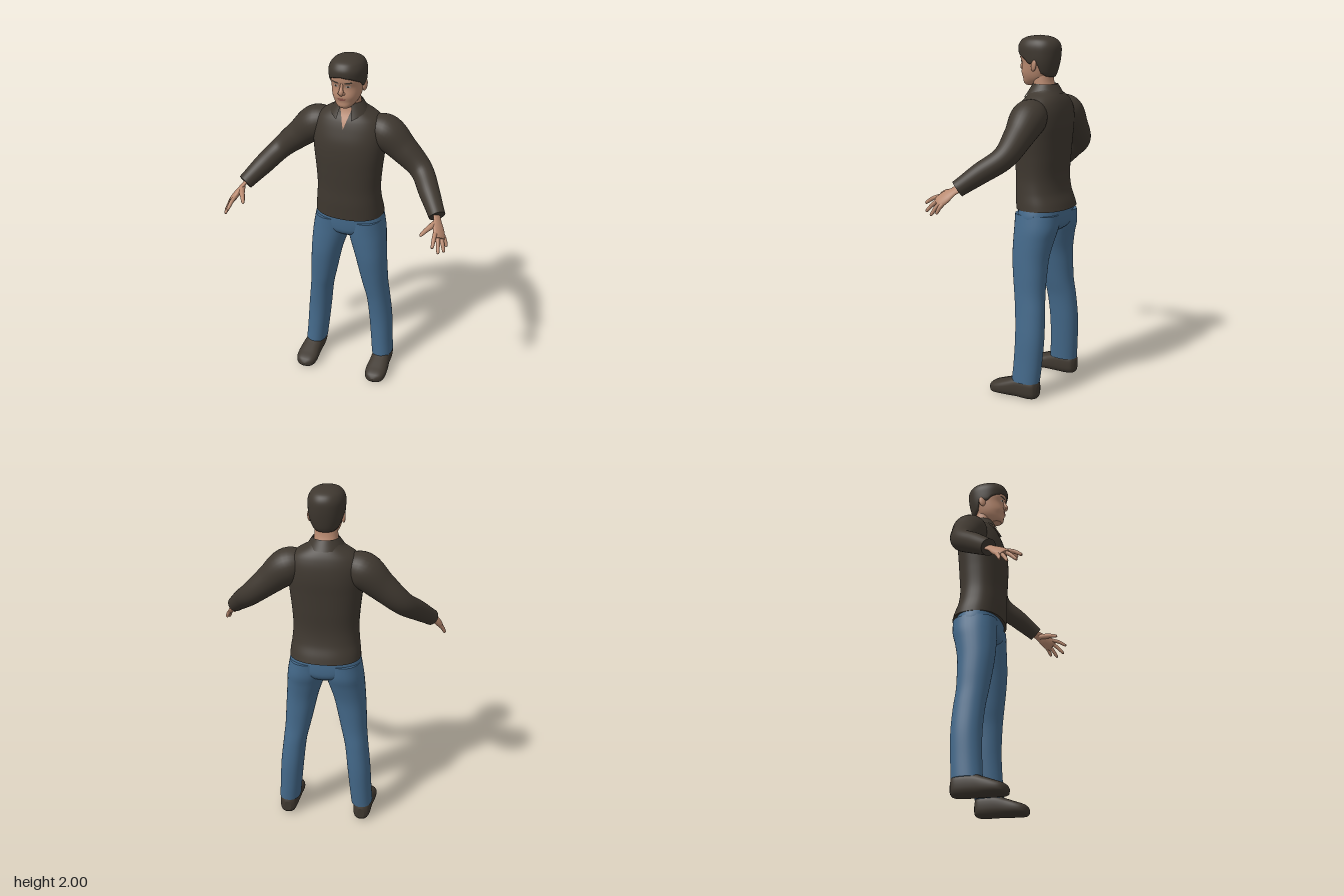
import * as THREE from 'three';

const mat = (name, color, side = THREE.FrontSide) => {
  const m = new THREE.MeshStandardMaterial({ color, side });
  m.name = name;
  return m;
};

// Grid of quads from rows of points; closed rows wrap around.
function skin(rows, closed = true) {
  const n = rows[0].length, pos = rows.flat(2), idx = [];
  for (let j = 0; j + 1 < rows.length; j++) {
    for (let i = 0; i < (closed ? n : n - 1); i++) {
      const k = (i + 1) % n, a = j * n + i, b = j * n + k;
      idx.push(a, b, b + n, a, b + n, a + n);
    }
  }
  const g = new THREE.BufferGeometry();
  g.setAttribute('position', new THREE.Float32BufferAttribute(pos, 3));
  g.setIndex(idx);
  g.computeVertexNormals();
  return g;
}

// Close both ends with a flat fan and a crisp rim.
function capped(rings) {
  const mid = r => r.map(() => [0, 1, 2].map(c => r.reduce((s, p) => s + p[c], 0) / r.length));
  const a = rings[0], b = rings[rings.length - 1];
  return skin([mid(a), a, ...rings, b, mid(b)]);
}

// Smooth lookup in keys [s, x0, x1, z0, z1].
function extents(keys, s) {
  let i = 0;
  while (i < keys.length - 2 && s > keys[i + 1][0]) i++;
  const slope = (k, c) => {
    const a = keys[Math.max(0, k - 1)], b = keys[Math.min(keys.length - 1, k + 1)];
    return (b[c] - a[c]) / (b[0] - a[0]);
  };
  const A = keys[i], B = keys[i + 1], h = B[0] - A[0];
  const t = THREE.MathUtils.clamp((s - A[0]) / h, 0, 1), t2 = t * t, t3 = t2 * t;
  return [1, 2, 3, 4].map(c => (2 * t3 - 3 * t2 + 1) * A[c] + (3 * t2 - 2 * t3) * B[c]
    + h * ((t3 - 2 * t2 + t) * slope(i, c) + (t3 - t2) * slope(i + 1, c)));
}

// Point on the rounded section at height s; angle 0 is the front.
function at(keys, s, a, p = 2.3, scale = 1) {
  const [x0, x1, z0, z1] = extents(keys, s);
  const f = v => Math.sign(v) * Math.abs(v) ** (2 / p) * scale / 2;
  return [(x0 + x1) / 2 + (x1 - x0) * f(Math.sin(a)), s, (z0 + z1) / 2 + (z1 - z0) * f(Math.cos(a))];
}

const angles = n => Array.from({ length: n }, (_, i) => i / n * Math.PI * 2);
const steps = n => Array.from({ length: n + 1 }, (_, i) => i / n);

function loft(keys, p = 2.3, rows = 40, n = 40) {
  const lo = keys[0][0], hi = keys[keys.length - 1][0];
  return capped(steps(rows).map(t => angles(n).map(a => at(keys, lo + (hi - lo) * t, a, p))));
}

// Tapering limb along points [x, y, z, radius], flattened across the ref direction.
function limb(pts, ref = [0, 0, 1], flat = 1, n = 20) {
  const curve = new THREE.CatmullRomCurve3(pts.map(p => new THREE.Vector3(p[0], p[1], p[2])));
  const radius = new THREE.SplineCurve(pts.map((p, i) => new THREE.Vector2(i, p[3])));
  return capped(steps(pts.length * 6).map(t => {
    const c = curve.getPoint(t), d = curve.getTangent(t), r = radius.getPoint(t).y;
    const u = new THREE.Vector3(...ref);
    u.addScaledVector(d, -u.dot(d)).normalize();
    const v = d.clone().cross(u);
    return angles(n).map(a => c.clone().addScaledVector(u, r * Math.cos(a))
      .addScaledVector(v, r * flat * Math.sin(a)).toArray());
  }));
}

function mirrored(g) {
  const m = g.clone().scale(-1, 1, 1), ix = m.index.array;
  for (let i = 0; i < ix.length; i += 3) [ix[i], ix[i + 1]] = [ix[i + 1], ix[i]];
  return m;
}

// Thin plate laid on the front of a lofted form; f(u, v) gives x, y.
function plate(keys, f, lift = 0.003) {
  return skin(steps(8).map(v => steps(10).map(u => {
    const [x, y] = f(u * 2 - 1, v * 2 - 1), [x0, x1, z0, z1] = extents(keys, y);
    const q = Math.min(1, Math.abs((x - (x0 + x1) / 2) / ((x1 - x0) / 2)));
    return [x, y, (z0 + z1) / 2 + (z1 - z0) / 2 * (1 - q ** 2.3) ** (1 / 2.3) + lift];
  })), false);
}
const lens = (cx, cy, w, h, tilt = 0) => (u, v) =>
  [cx + w * u, cy + h * v * Math.sqrt(Math.max(0, 1 - u * u)) + tilt * u];

const sym = rows => rows.map(([y, w, z0, z1]) => [y, -w, w, z0, z1]);

const TORSO = sym([[1.065, .196, -.268, .025], [1.1, .193, -.258, .027], [1.16, .185, -.236, .03],
  [1.24, .18, -.226, .03], [1.35, .187, -.232, .035], [1.45, .198, -.238, .037], [1.53, .204, -.243, .03],
  [1.6, .2, -.238, .01], [1.65, .175, -.225, -.01], [1.68, .135, -.21, -.028], [1.7, .098, -.195, -.037],
  [1.73, .07, -.175, -.045]]);
const HEAD = sym([[1.732, .03, -.06, .006], [1.745, .046, -.1, .018], [1.77, .064, -.135, .02],
  [1.8, .075, -.155, .027], [1.85, .084, -.175, .022], [1.89, .087, -.18, .033], [1.94, .08, -.175, .028],
  [1.97, .06, -.15, 0]]);
const HAIR = sym([[1.77, .07, -.158, .02], [1.8, .08, -.172, .025], [1.85, .093, -.185, .03],
  [1.9, .098, -.193, .041], [1.94, .097, -.193, .045], [1.97, .084, -.178, .03], [1.985, .066, -.155, .01],
  [1.995, .04, -.12, -.025], [2, 0, -.075, -.075]]);
const NECK = sym([[1.6, .07, -.17, -.05], [1.7, .064, -.168, -.05], [1.75, .062, -.152, -.047],
  [1.8, .06, -.145, -.04]]);
const PELVIS = sym([[.93, .05, -.19, -.04], [.96, .14, -.232, -.005], [1, .198, -.245, .006],
  [1.1, .185, -.24, .01]]);
const LEG = [[.1, .155, .278, -.2, -.035], [.2, .145, .271, -.208, -.042], [.35, .13, .262, -.215, -.046],
  [.5, .113, .246, -.209, -.036], [.6, .09, .236, -.2, -.022], [.7, .068, .231, -.2, -.008],
  [.8, .045, .225, -.205, .003], [.9, .014, .218, -.225, .006], [.96, 0, .212, -.242, .006],
  [1.04, 0, .198, -.245, .006]];
// Shoe sections run from heel to toe: z, x0, x1, -top, -bottom
const SHOE = [[-.2, .2, .24, -.085, -.02], [-.19, .18, .26, -.112, -.008], [-.15, .17, .272, -.125, 0],
  [-.08, .165, .276, -.122, 0], [-.02, .163, .284, -.1, 0], [.04, .16, .287, -.077, 0],
  [.08, .17, .277, -.062, 0], [.1, .19, .254, -.048, -.008], [.106, .21, .236, -.035, -.018]];

export function createModel() {
  const dark = mat('darkCloth', 0x3f3830, THREE.DoubleSide), denim = mat('denim', 0x44698a);
  const flesh = mat('skin', 0xb98a70, THREE.DoubleSide), lip = mat('lips', 0x965c50, THREE.DoubleSide);
  const white = mat('eyeWhite', 0xb5aaa0, THREE.DoubleSide);
  const model = new THREE.Group();
  const add = (name, geo, m) => {
    const mesh = new THREE.Mesh(geo, m);
    mesh.name = name;
    model.add(mesh);
  };
  const pair = (name, geo, m) => {
    add(name + 'Left', geo, m);
    add(name + 'Right', mirrored(geo), m);
  };

  // Clothes
  add('shirt', loft(TORSO, 2.3, 60, 56), dark);
  pair('sleeve', limb([[.09, 1.595, -.115, .065], [.195, 1.573, -.125, .098], [.3, 1.488, -.125, .08],
    [.41, 1.39, -.105, .063], [.487, 1.31, -.008, .056], [.558, 1.232, .085, .045]], [0, 0, 1], 1, 32), dark);
  add('hips', loft(PELVIS), denim);
  pair('trouserLeg', loft(LEG, 2.2, 50, 36), denim);
  pair('shoe', loft(SHOE, 2.7, 40, 32).rotateX(Math.PI / 2), dark);

  // Open shirt neck and folded collar
  add('openNeck', plate(TORSO, (u, v) => [u * .035 * (v + 1) / 2, 1.61 + .055 * (v + 1)]), flesh);
  const top = sym([[0, .07, -.178, -.042], [1, .07, -.178, -.042]]);
  const low = sym([[0, .103, -.21, .008], [1, .103, -.21, .008]]);
  add('collar', skin([0, .3, .65, 1].map(v => steps(48).map(u => {
    const a = .42 + u * (Math.PI * 2 - .84), front = Math.max(0, Math.cos(a)) ** 3;
    const p = at(low, 0, a, 2), q = at(top, 0, a, 2);
    return [p[0] + (q[0] - p[0]) * v, (1.69 - .04 * front) * (1 - v) + 1.742 * v, p[2] + (q[2] - p[2]) * v];
  })), false), dark);

  // Head and face
  add('neck', loft(NECK), flesh);
  add('head', loft(HEAD, 2.3, 50, 48), flesh);
  add('nose', limb([[0, 1.882, .024, .006], [0, 1.855, .03, .009], [0, 1.832, .037, .013],
    [0, 1.82, .034, .011], [0, 1.813, .025, .006]], [1, 0, 0], .9), flesh);
  pair('nostril', new THREE.SphereGeometry(.009, 14, 10).translate(.011, 1.823, .03), flesh);
  pair('ear', new THREE.SphereGeometry(1, 18, 14).scale(.01, .032, .019).rotateX(-.2).rotateY(-.3)
    .translate(.089, 1.842, -.088), flesh);
  pair('eye', plate(HEAD, lens(.034, 1.861, .015, .006)), white);
  pair('iris', plate(HEAD, lens(.034, 1.861, .006, .006), .005), dark);
  pair('eyebrow', plate(HEAD, lens(.036, 1.882, .022, .005, .002)), dark);
  add('upperLip', plate(HEAD, lens(0, 1.793, .026, .003)), dark === lip ? dark : lip);
  add('lowerLip', plate(HEAD, lens(0, 1.786, .022, .005), .004), lip);

  // Hair cap: the hairline height changes around the head
  const line = [[0, 1.912], [.5, 1.903], [.95, 1.885], [1.2, 1.872], [1.4, 1.848], [1.6, 1.852],
    [1.8, 1.855], [2.05, 1.8], [2.5, 1.782], [3.15, 1.778]];
  const hairline = a => {
    const s = a > Math.PI ? 2 * Math.PI - a : a;
    const i = line.findIndex((k, j) => j && s <= k[0]), [p, q] = [line[i - 1], line[i]];
    return p[1] + (q[1] - p[1]) * (s - p[0]) / (q[0] - p[0]);
  };
  const hairRow = (t, scale) => angles(64).map(a => {
    const b = hairline(a);
    return at(HAIR, b + (2 - b) * Math.sin(t * Math.PI / 2), a, 2.2, scale);
  });
  add('hair', skin([hairRow(0, .82), hairRow(0, .98), ...steps(28).slice(1).map(t => hairRow(t, 1))]), dark);

  // Hands: palm, four fingers and thumb
  const across = [-.53, .51, .67];
  pair('palm', limb([[.545, 1.247, .062, .028], [.566, 1.218, .105, .028], [.582, 1.19, .14, .04],
    [.597, 1.165, .17, .041], [.603, 1.155, .182, .034]], across, .42), flesh);
  const fingers = [['index', .033, [.585, 1.143, .272]], ['middle', .012, [.613, 1.104, .25]],
    ['ring', -.011, [.634, 1.091, .205]], ['little', -.032, [.637, 1.105, .165]]];
  for (const [name, w, tip] of fingers) {
    const base = [.594, 1.17, .165].map((c, i) => c + across[i] * w);
    const pt = (t, r, bend = 0) => [...base.map((c, i) => c + (tip[i] - c) * t + (i === 1 ? bend : 0)), r];
    pair(name + 'Finger', limb([pt(0, .0115), pt(.45, .011, .006), pt(.85, .009, .002), pt(.97, .0065), pt(1, .002)],
      across, 1, 12), flesh);
  }
  pair('thumb', limb([[.563, 1.213, .112, .016], [.548, 1.207, .155, .016], [.527, 1.196, .192, .0125],
    [.511, 1.183, .222, .009], [.507, 1.179, .231, .003]], [0, 1, 0], 1, 12), flesh);

  return model;
}
